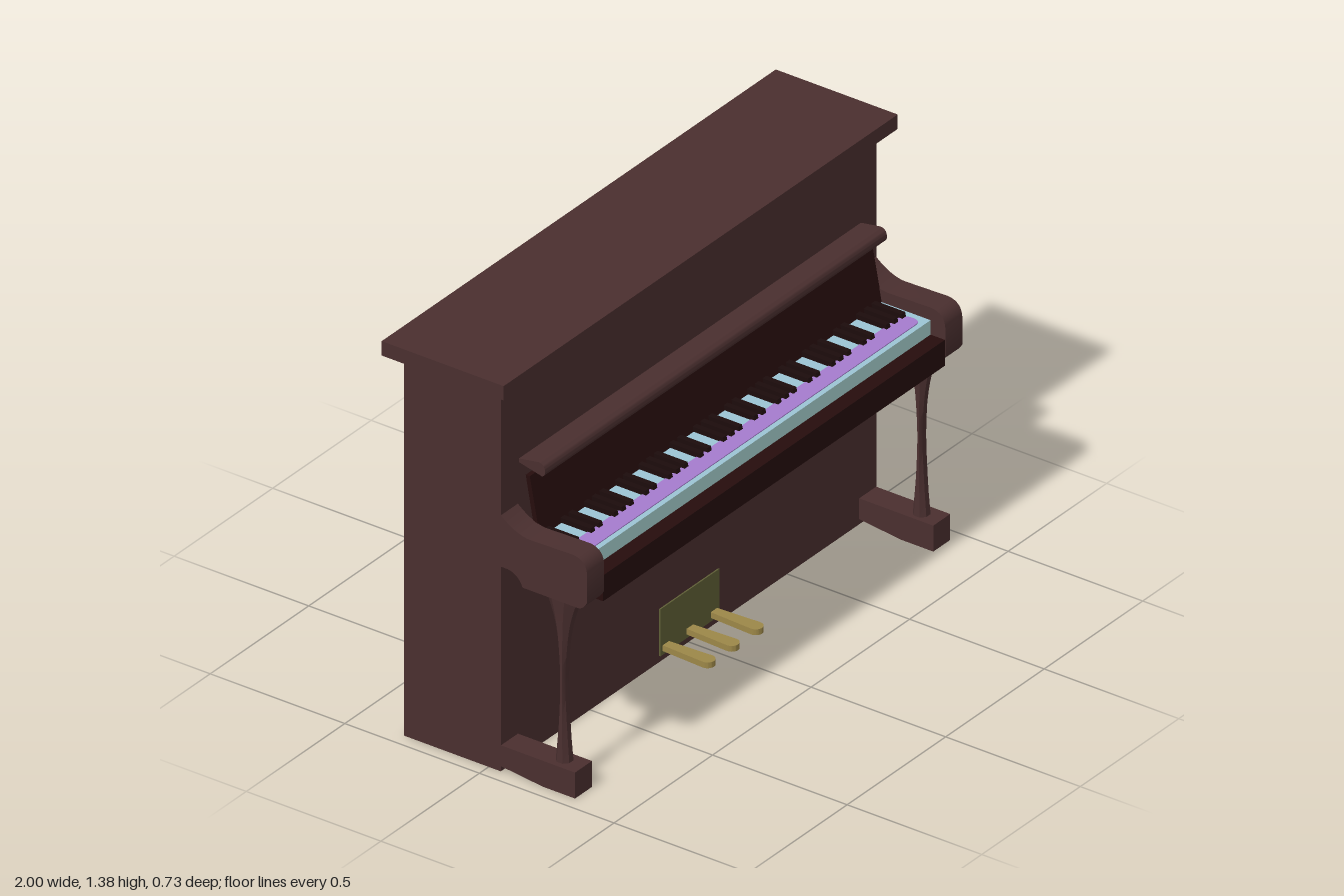
import * as THREE from 'three';
import { toCreasedNormals } from 'three/addons/utils/BufferGeometryUtils.js';

const material = (name, color) => {
  const m = new THREE.MeshStandardMaterial({ color });
  m.name = name;
  return m;
};

export function createModel() {
  const wood = material('brown wood', 0x4a2f2f);
  const dark = material('dark wood', 0x260d0d);
  const black = material('black key', 0x1c0c0c);
  const keyTop = material('key top blue', 0x9cc4d4);
  const keyFront = material('key front teal', 0xa9d3d0);
  const purple = material('purple', 0xa57cce);
  const brass = material('brass', 0x9c8748);
  const olive = material('olive plate', 0x5f5f36);

  const piano = new THREE.Group();
  piano.name = 'uprightPiano';

  const add = (name, geometry, mat) => {
    const mesh = new THREE.Mesh(geometry, mat);
    mesh.name = name;
    piano.add(mesh);
    return mesh;
  };
  // Box given by its limits on each axis
  const box = (name, mat, x0, x1, y0, y1, z0, z1) =>
    add(name, new THREE.BoxGeometry(x1 - x0, y1 - y0, z1 - z0)
      .translate((x0 + x1) / 2, (y0 + y1) / 2, (z0 + z1) / 2), mat);
  // Side profile drawn in (z, y), extruded along x around centre cx
  const profile = (name, mat, shape, cx, width) => {
    const g = new THREE.ExtrudeGeometry(shape, { depth: width, bevelEnabled: false, curveSegments: 10 });
    g.rotateY(-Math.PI / 2).translate(cx + width / 2, 0, 0);
    return add(name, toCreasedNormals(g, 0.6), mat);
  };
  const polygon = (points) => new THREE.Shape(points.map(([z, y]) => new THREE.Vector2(z, y)));

  // Case and top lid
  box('case', wood, -0.953, 0.953, 0, 1.325, -0.315, 0.045);
  box('topLid', wood, -1, 1, 1.325, 1.375, -0.363, 0.09);

  // Key bed and slanted board behind the keys
  box('keyBed', dark, -0.868, 0.868, 0.66, 0.75, 0.04, 0.363);
  profile('keyBackBoard', dark,
    polygon([[0.138, 0.75], [0.09, 1.0], [0.075, 1.0], [0.12, 0.75]]), 0, 1.735);

  // Rolled ledge above the board
  const ledge = new THREE.Shape();
  ledge.moveTo(0.05, 1.035);
  ledge.lineTo(0.135, 1.015);
  ledge.quadraticCurveTo(0.147, 1.018, 0.147, 1.035);
  ledge.quadraticCurveTo(0.145, 1.06, 0.122, 1.06);
  ledge.lineTo(0.05, 1.048);
  profile('ledge', wood, ledge, 0, 1.735);

  // White keys: blue tops, teal front face
  const whites = new THREE.BoxGeometry(1.735, 0.05, 0.19).translate(0, 0.775, 0.215);
  add('whiteKeys', whites, [keyTop, keyTop, keyTop, keyTop, keyFront, keyTop]);

  // Purple band lying on the keys
  const band = new THREE.Shape();
  band.moveTo(-0.82, -0.292);
  band.lineTo(0.82, -0.292);
  band.quadraticCurveTo(0.842, -0.29, 0.842, -0.26);
  band.quadraticCurveTo(0.84, -0.226, 0.81, -0.226);
  band.lineTo(-0.81, -0.226);
  band.quadraticCurveTo(-0.84, -0.226, -0.842, -0.26);
  band.quadraticCurveTo(-0.842, -0.29, -0.82, -0.292);
  add('keyBand', new THREE.ExtrudeGeometry(band, { depth: 0.003, bevelEnabled: false })
    .rotateX(-Math.PI / 2).translate(0, 0.8, 0), purple);

  // Black keys in groups of two and three
  const whiteCount = 44, pitch = 1.735 / whiteCount;
  for (let i = 0; i < whiteCount - 1; i++) {
    if (![0, 2, 3, 5, 6].includes(i % 7)) continue;
    const x = -0.8675 + (i + 1) * pitch;
    profile('blackKey', black,
      polygon([[0.125, 0.795], [0.242, 0.795], [0.236, 0.817], [0.125, 0.817]]), x, 0.019);
  }

  // Arm outline with rolled front and an arched notch beneath
  const arm = new THREE.Shape();
  arm.moveTo(0.04, 0.71);
  arm.lineTo(0.07, 0.71);
  arm.quadraticCurveTo(0.11, 0.705, 0.125, 0.665);
  arm.lineTo(0.335, 0.665);
  arm.quadraticCurveTo(0.352, 0.67, 0.365, 0.695);
  arm.lineTo(0.365, 0.79);
  arm.quadraticCurveTo(0.362, 0.842, 0.31, 0.844);
  arm.lineTo(0.15, 0.84);
  arm.quadraticCurveTo(0.095, 0.843, 0.04, 0.893);

  const foot = polygon([[0.04, 0.018], [0.2, 0], [0.32, 0], [0.32, 0.09], [0.04, 0.09]]);

  // Leg half-widths: height, across x, along z
  const legCurve = new THREE.CatmullRomCurve3([
    [0.09, 0.026, 0.025], [0.2, 0.022, 0.016], [0.35, 0.018, 0.008], [0.45, 0.02, 0.012],
    [0.55, 0.025, 0.024], [0.61, 0.03, 0.039], [0.667, 0.036, 0.06],
  ].map(([y, w, d]) => new THREE.Vector3(w, y, d)));
  const legGeometry = () => {
    const g = new THREE.CylinderGeometry(1, 1, 1, 8, 18);
    g.rotateY(Math.PI / 8);
    const p = g.attributes.position, k = 1 / Math.cos(Math.PI / 8);
    for (let i = 0; i < p.count; i++) {
      const c = legCurve.getPoint(THREE.MathUtils.clamp(p.getY(i) + 0.5, 0, 1));
      p.setXYZ(i, p.getX(i) * c.x * k, c.y, p.getZ(i) * c.z * k);
    }
    return toCreasedNormals(g, 0.5);
  };

  for (const [side, s] of [['left', 1], ['right', -1]]) {
    profile(side + 'Arm', wood, arm, s * 0.909, 0.086);
    profile(side + 'Foot', wood, foot, s * 0.909, 0.086);
    add(side + 'Leg', legGeometry().translate(s * 0.906, 0, 0.248), wood);
  }

  // Pedal plate and three round-ended pedals
  box('pedalPlate', olive, -0.15, 0.15, 0.022, 0.185, 0.043, 0.05);
  const pedal = new THREE.Shape();
  pedal.moveTo(-0.016, -0.045);
  pedal.lineTo(-0.024, -0.205);
  pedal.absarc(0, -0.205, 0.024, Math.PI, Math.PI * 2, false);
  pedal.lineTo(0.016, -0.045);
  for (const x of [-0.122, 0, 0.122]) {
    const g = new THREE.ExtrudeGeometry(pedal, { depth: 0.02, bevelEnabled: false, curveSegments: 10 });
    g.rotateX(-Math.PI / 2).translate(x, 0.035, 0);
    add('pedal', toCreasedNormals(g, 0.6), brass);
  }
  return piano;
}
